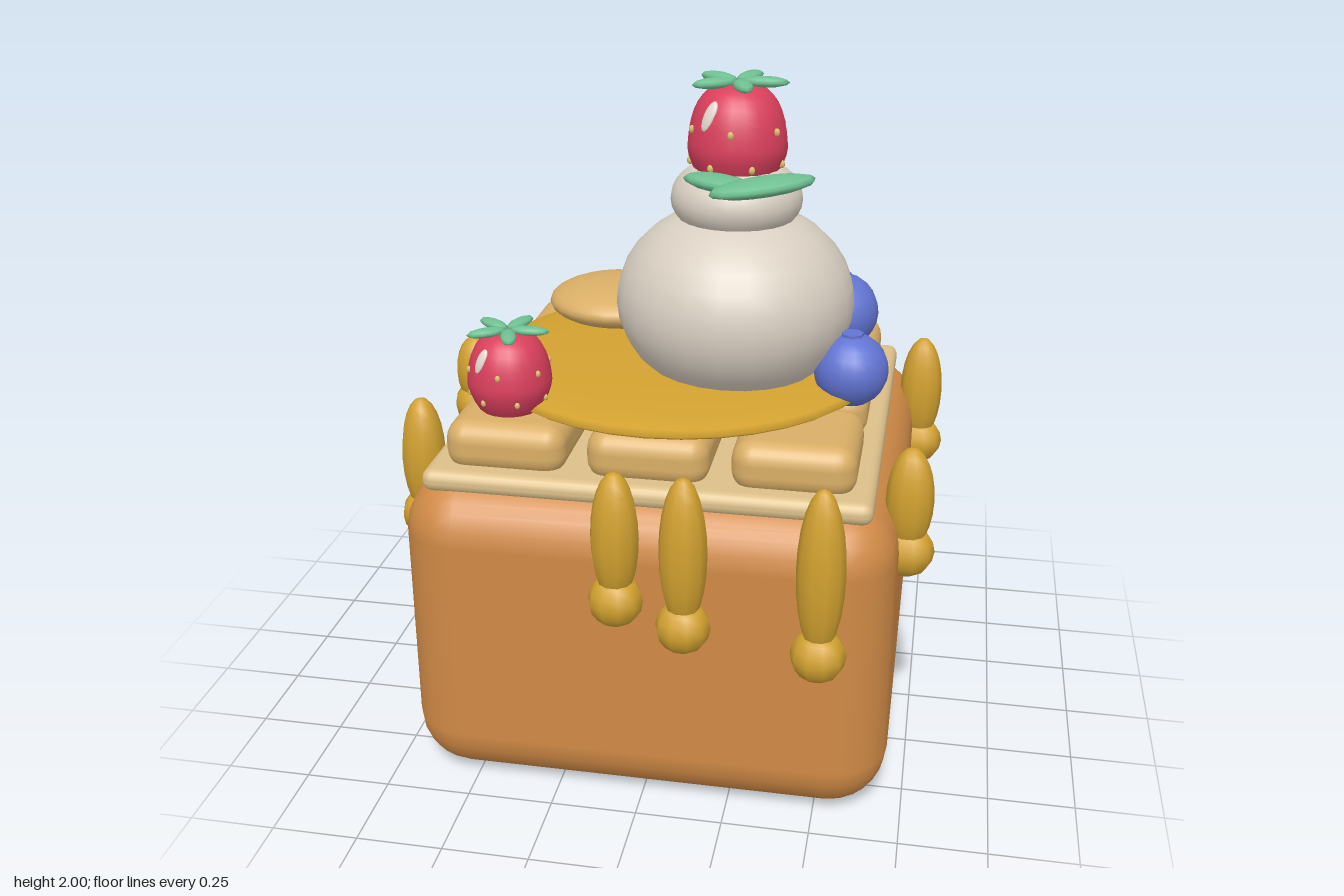
import * as THREE from 'three';
import { RoundedBoxGeometry } from 'three/addons/geometries/RoundedBoxGeometry.js';

const paint = (name, color) => {
  const m = new THREE.MeshStandardMaterial({ color });
  m.name = name;
  return m;
};

export function createModel() {
  const crust = paint('crust brown', 0xd08a46);
  const crumb = paint('crumb cream', 0xdcc08a);
  const toast = paint('toasted tan', 0xd9ae66);
  const syrup = paint('syrup gold', 0xd2a130);
  const cream = paint('ice cream', 0xd9cfc2);
  const red = paint('strawberry red', 0xda3f5c);
  const green = paint('leaf green', 0x6fc092);
  const blue = paint('blueberry blue', 0x6274d2);
  const seed = paint('seed yellow', 0xdcc070);
  const shine = paint('highlight', 0xf2e4da);

  const model = new THREE.Group();
  model.name = 'honeyToast';

  const add = (parent, name, geometry, material, x, y, z) => {
    const mesh = new THREE.Mesh(geometry, material);
    mesh.name = name;
    mesh.position.set(x, y, z);
    parent.add(mesh);
    return mesh;
  };
  // Sphere stretched to the given half sizes
  const blob = (parent, name, material, [x, y, z], [rx, ry, rz], w = 24, h = 16) => {
    const mesh = add(parent, name, new THREE.SphereGeometry(1, w, h), material, x, y, z);
    mesh.scale.set(rx, ry, rz);
    return mesh;
  };

  // Bread loaf with its pale cut top
  add(model, 'loaf', new RoundedBoxGeometry(1.4, 0.95, 1.4, 3, 0.17), crust, 0, 0.475, 0);
  add(model, 'crumbSlab', new RoundedBoxGeometry(1.26, 0.066, 1.26, 2, 0.03), crumb, 0, 0.947, 0);

  // Three by three toasted cubes
  const cube = new RoundedBoxGeometry(0.345, 0.15, 0.345, 3, 0.06);
  for (const x of [-0.405, 0, 0.405]) {
    for (const z of [-0.405, 0, 0.405]) add(model, 'toastCube', cube, toast, x, 1.03, z);
  }

  // Syrup pool and the wafer lying on it
  blob(model, 'syrupPool', syrup, [0, 1.118, -0.005], [0.594, 0.053, 0.594], 36, 12);
  blob(model, 'wafer', toast, [-0.248, 1.215, -0.25], [0.222, 0.07, 0.212]);

  // Ice cream scoops
  blob(model, 'largeScoop', cream, [0.172, 1.352, 0.07], [0.348, 0.285, 0.348]);
  blob(model, 'smallScoop', cream, [0.172, 1.655, 0.07], [0.19, 0.12, 0.19]);

  // Syrup drips: x, z, lowest point
  const drips = [
    [-0.053, 0.723, 0.61], [0.134, 0.723, 0.545], [0.505, 0.723, 0.495],
    [0.72, 0.425, 0.68], [0.72, -0.452, 0.635],
    [-0.725, -0.21, 0.76], [-0.725, 0.325, 0.62],
    [0.005, -0.725, 0.6], [-0.43, -0.725, 0.54],
  ];
  for (const [x, z, low] of drips) {
    const drip = new THREE.Group();
    drip.name = 'syrupDrip';
    const ball = low + 0.076;
    blob(drip, 'dripRun', syrup, [x, (1.07 + ball) / 2, z], [0.067, (1.07 - ball) / 2, 0.067], 10, 12);
    blob(drip, 'dripBead', syrup, [x, ball, z], [0.077, 0.076, 0.077], 10, 8);
    model.add(drip);
  }

  // Strawberries with seeds, highlight and a five-leaf cap
  const profile = new THREE.SplineCurve([
    [0, -0.13], [0.05, -0.118], [0.092, -0.078], [0.117, -0.025], [0.119, 0.01],
    [0.112, 0.055], [0.097, 0.095], [0.07, 0.127], [0.035, 0.141], [0, 0.144],
  ].map(([r, y]) => new THREE.Vector2(r, y))).getPoints(18);
  profile[0].x = profile[18].x = 0;
  const berryBody = new THREE.LatheGeometry(profile, 20);

  function strawberry(x, y, z, size) {
    const berry = new THREE.Group();
    berry.name = 'strawberry';
    add(berry, 'berryBody', berryBody, red, 0, 0, 0);
    for (const [count, h, r, turn] of [[7, -0.04, 0.112, 0.45], [6, 0.042, 0.115, 0]]) {
      for (let i = 0; i < count; i++) {
        const a = turn + (i / count) * Math.PI * 2;
        blob(berry, 'seed', seed, [Math.sin(a) * r, h, Math.cos(a) * r], [0.008, 0.01, 0.008], 6, 5);
      }
    }
    const glint = blob(berry, 'highlight', shine, [-0.054, 0.078, 0.084], [0.017, 0.038, 0.009], 10, 8);
    glint.rotation.set(-0.4, -0.55, -0.45);
    for (let i = 0; i < 5; i++) {
      const a = (i / 5) * Math.PI * 2;
      const leaf = blob(berry, 'capLeaf', green,
        [Math.cos(a) * 0.063, 0.147, Math.sin(a) * 0.063], [0.058, 0.013, 0.023], 10, 6);
      leaf.rotation.y = -a;
    }
    berry.position.set(x, y, z);
    berry.scale.setScalar(size);
    model.add(berry);
  }
  strawberry(-0.42, 1.19, 0.415, 1);
  strawberry(0.172, 1.81, 0.07, 1.19);

  // Blueberries with a small crown
  for (const [x, y, z, r] of [[0.453, 1.205, -0.286, 0.122], [0.525, 1.19, 0.172, 0.108]]) {
    blob(model, 'blueberry', blue, [x, y, z], [r, r, r], 18, 12);
    add(model, 'blueberryCrown', new THREE.CylinderGeometry(0.033, 0.033, 0.02, 7), blue, x, y + r - 0.007, z);
  }

  // Mint leaves tucked beside the top berry
  const mintA = blob(model, 'mintLeaf', green, [0.155, 1.75, 0.29], [0.118, 0.024, 0.064], 12, 8);
  mintA.rotation.set(-0.1, -0.55, 0, 'YXZ');
  const mintB = blob(model, 'mintLeaf', green, [0.28, 1.76, 0.345], [0.156, 0.026, 0.075], 12, 8);
  mintB.rotation.set(-0.08, 0.55, 0.06, 'YXZ');

  return model;
}
